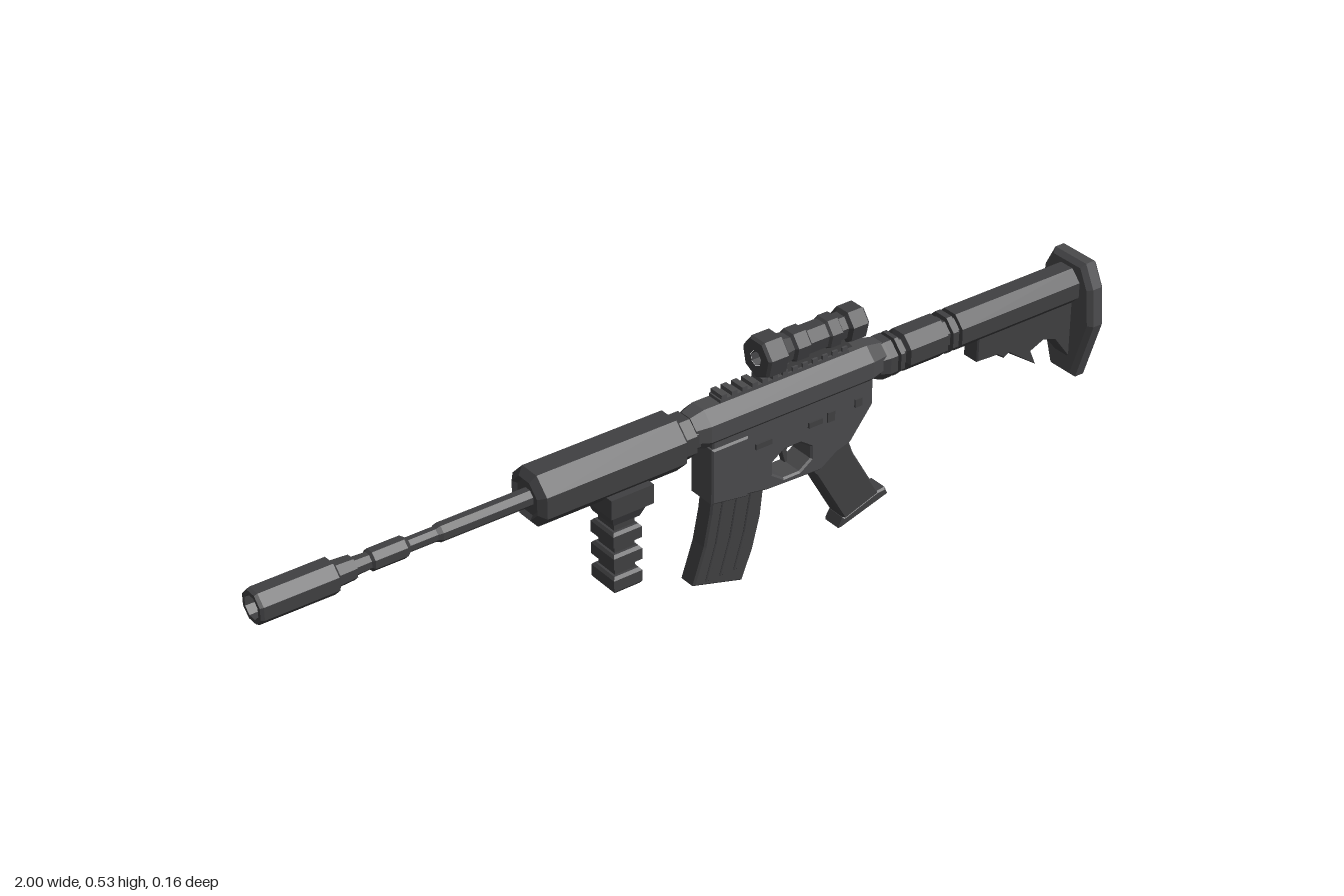
import * as THREE from 'three';

const dark = new THREE.MeshStandardMaterial({ color: 0x404042, flatShading: true });
const light = new THREE.MeshStandardMaterial({ color: 0x4a4a4c, flatShading: true });

export function createModel() {
  const model = new THREE.Group();

  const add = (name, geometry, material = dark, x = 0, y = 0, z = 0) => {
    const mesh = new THREE.Mesh(geometry, material);
    mesh.name = name;
    mesh.position.set(x, y, z);
    model.add(mesh);
    return mesh;
  };

  // Faceted turned part along x; profile is [x, half height] pairs
  const turned = (name, y, profile, { sides = 8, phase = Math.PI / 8, k = 1 / Math.cos(Math.PI / 8), material = dark } = {}) => {
    const points = profile.map(([x, r]) => new THREE.Vector2(r * k, x));
    const geometry = new THREE.LatheGeometry(points, sides, phase);
    geometry.rotateZ(-Math.PI / 2);
    return add(name, geometry, material, 0, y);
  };

  // Flat outline with chamfered edges, centred on z
  const plate = (name, outline, halfWidth, { material = dark, bevel = 0.004, hole } = {}) => {
    const shape = new THREE.Shape(outline.map(([x, y]) => new THREE.Vector2(x, y)));
    if (hole) shape.holes.push(new THREE.Path(hole.map(([x, y]) => new THREE.Vector2(x, y))));
    const geometry = new THREE.ExtrudeGeometry(shape, {
      depth: 2 * (halfWidth - bevel), bevelEnabled: bevel > 0,
      bevelThickness: bevel, bevelSize: bevel, bevelOffset: -bevel, bevelSegments: 1,
    });
    geometry.translate(0, 0, bevel - halfWidth);
    return add(name, geometry, material);
  };

  const box = (name, x, y, z, w, h, d, material) =>
    add(name, new THREE.BoxGeometry(w, h, d), material, x, y, z);

  // Barrel with its hollow muzzle
  turned('muzzle', 0.386, [
    [-0.93, 0], [-0.93, 0.02], [-1, 0.023], [-1, 0.031], [-0.993, 0.034],
    [-0.835, 0.034], [-0.828, 0.025], [-0.79, 0.023], [-0.78, 0],
  ]);
  turned('barrel', 0.386, [
    [-0.8, 0.018], [-0.755, 0.016], [-0.75, 0.021], [-0.68, 0.021],
    [-0.67, 0.014], [-0.61, 0.014], [-0.6, 0.018], [-0.38, 0.018],
  ]);

  // Handguard and the collar behind it
  turned('handguard', 0.386, [
    [-0.4, 0], [-0.4, 0.034], [-0.408, 0.042], [-0.395, 0.057], [-0.07, 0.057],
    [-0.06, 0.045], [-0.035, 0.045], [-0.03, 0.036], [-0.02, 0.036], [-0.02, 0],
  ]);

  // Vertical foregrip: mount and three chamfered blocks
  const gripProfile = [[0, 0.113], [0.03, 0.113]];
  for (const y of [0.113, 0.164, 0.215]) {
    gripProfile.push([0.034, y + 0.006], [0.034, y + 0.031], [0.029, y + 0.037], [0.024, y + 0.037], [0.024, y + 0.051]);
  }
  gripProfile.push([0.031, 0.27], [0.041, 0.298], [0.05, 0.302], [0.05, 0.345], [0, 0.345]);
  const foregrip = new THREE.LatheGeometry(
    gripProfile.map(([r, y]) => new THREE.Vector2(r * Math.SQRT2, y)), 4, Math.PI / 4);
  foregrip.scale(1, 1, 1.12);
  add('foregrip', foregrip, dark, -0.198);

  // Upper receiver
  turned('upperReceiver', 0.394, [
    [-0.03, 0], [-0.03, 0.034], [0, 0.044], [0.405, 0.044], [0.45, 0.034], [0.455, 0],
  ], { material: light });

  // Lower receiver with the trigger opening
  const opening = [];
  for (let i = 0; i < 8; i++) {
    const a = (i + 0.5) * Math.PI / 4;
    opening.push([0.21 + 0.052 * Math.cos(a), 0.249 + 0.036 * Math.sin(a)]);
  }
  plate('lowerReceiver', [
    [0.012, 0.37], [0.012, 0.226], [0.15, 0.203], [0.285, 0.198], [0.325, 0.225],
    [0.36, 0.235], [0.415, 0.305], [0.415, 0.37],
  ], 0.032, { material: light, hole: opening });
  plate('magazineWell', [[0.008, 0.35], [0.008, 0.224], [0.098, 0.21], [0.098, 0.35]], 0.036, { material: light });
  plate('trigger', [[0.212, 0.29], [0.202, 0.262], [0.21, 0.233], [0.217, 0.233], [0.215, 0.262], [0.232, 0.29]],
    0.008, { bevel: 0.001 });

  // Controls on both sides
  for (const side of [1, -1]) {
    box('releaseButton', 0.135, 0.318, side * 0.032, 0.04, 0.012, 0.01);
    box('selector', 0.265, 0.318, side * 0.032, 0.035, 0.012, 0.01);
    box('receiverPin', 0.305, 0.318, side * 0.032, 0.018, 0.022, 0.008);
    box('rearPin', 0.375, 0.325, side * 0.032, 0.018, 0.018, 0.008);
  }

  // Curved magazine with ribs
  plate('magazine', [
    [0.02, 0.24], [0.014, 0.19], [0, 0.12], [-0.028, 0.038], [0.095, 0.003],
    [0.122, 0.07], [0.14, 0.14], [0.15, 0.225],
  ], 0.022);
  for (const dx of [0.025, 0.06, 0.095]) {
    plate('magazineRib', [
      [dx + 0.018, 0.22], [dx, 0.12], [dx - 0.024, 0.04], [dx - 0.015, 0.038], [dx + 0.01, 0.12], [dx + 0.028, 0.22],
    ], 0.025, { bevel: 0.002 });
  }

  // Pistol grip with flared base
  plate('pistolGrip', [[0.255, 0.21], [0.36, 0.24], [0.375, 0.2], [0.45, 0.07], [0.36, 0.04], [0.28, 0.18]], 0.024);
  plate('pistolGripBase', [[0.342, 0.03], [0.47, 0.066], [0.462, 0.084], [0.44, 0.082], [0.352, 0.052]], 0.025);

  // Top rail with teeth
  box('rail', 0.2, 0.439, 0, 0.32, 0.012, 0.036, light);
  for (let i = 0; i < 13; i++) box('railTooth', 0.05 + i * 0.025, 0.447, 0, 0.013, 0.014, 0.036, light);

  // Scope: seven-sided hollow tube on its mount
  turned('scope', 0.495, [
    [0.14, 0.017], [0.14, 0.041], [0.146, 0.046], [0.187, 0.046], [0.195, 0.034], [0.215, 0.029],
    [0.22, 0.036], [0.25, 0.036], [0.255, 0.031], [0.3, 0.031], [0.305, 0.036], [0.33, 0.036],
    [0.335, 0.029], [0.35, 0.029], [0.355, 0.039], [0.392, 0.039], [0.397, 0.034],
    [0.397, 0.016], [0.14, 0.016],
  ], { sides: 7, phase: Math.PI / 2, k: 1 });
  plate('scopeMount', [[0.19, 0.444], [0.375, 0.444], [0.35, 0.475], [0.22, 0.475]], 0.013, { bevel: 0.002 });

  // Stock tube with rings
  turned('stockTube', 0.386, [
    [0.43, 0], [0.43, 0.036], [0.45, 0.043], [0.468, 0.043], [0.468, 0.032], [0.476, 0.032], [0.476, 0.043],
    [0.486, 0.043], [0.486, 0.032], [0.498, 0.032], [0.503, 0.042], [0.6, 0.042], [0.605, 0.032],
    [0.614, 0.032], [0.614, 0.042], [0.628, 0.042], [0.628, 0.032], [0.638, 0.032], [0.638, 0.042],
    [0.97, 0.042], [0.97, 0],
  ]);
  // Web below the stock
  plate('stockWeb', [
    [0.7, 0.36], [0.7, 0.295], [0.755, 0.292], [0.775, 0.278], [0.788, 0.285], [0.865, 0.232],
    [0.85, 0.268], [0.885, 0.283], [0.915, 0.272], [0.975, 0.195], [0.975, 0.36],
  ], 0.022, { bevel: 0.003 });

  // Butt plate
  const butt = plate('buttPlate', [
    [-0.047, 0.448], [-0.073, 0.397], [-0.082, 0.313], [-0.037, 0.172],
    [0.037, 0.172], [0.082, 0.313], [0.073, 0.397], [0.047, 0.448],
  ], 0.0215, { bevel: 0.01, material: light });
  butt.geometry.rotateY(Math.PI / 2);
  butt.position.x = 0.978;

  return model;
}
